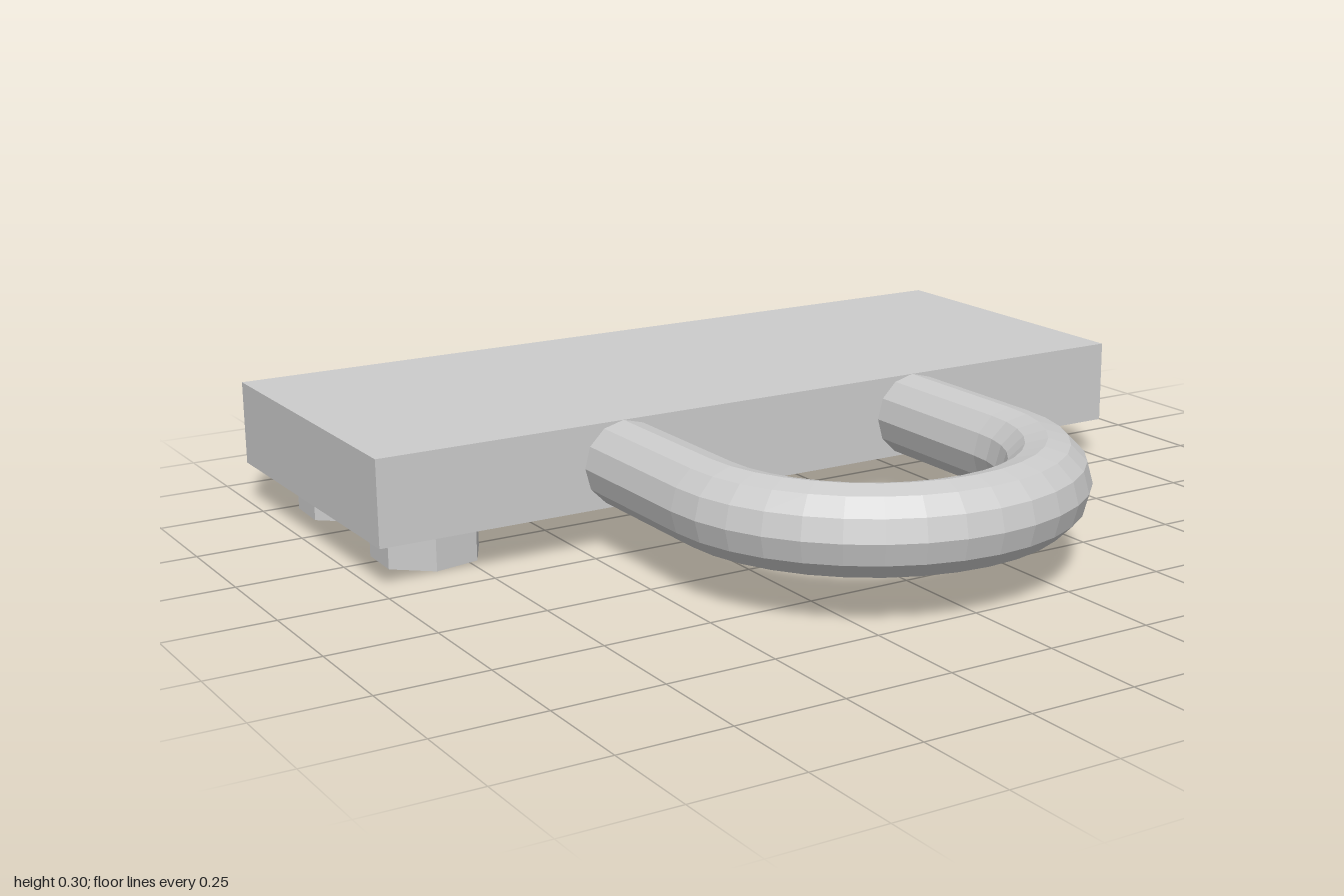
import * as THREE from 'three';

export function createModel() {
  const group = new THREE.Group();
  const material = new THREE.MeshStandardMaterial({ color: 0xcccccc, flatShading: true });

  const add = (name, geometry, x, y, z) => {
    const mesh = new THREE.Mesh(geometry, material);
    mesh.name = name;
    mesh.position.set(x, y, z);
    group.add(mesh);
    return mesh;
  };

  // Flat mounting plate
  add('plate', new THREE.BoxGeometry(2, 0.2, 0.8), 0, 0.2, -0.44);

  // U-shaped loop: half ring plus two straight legs running into the plate
  const ringZ = 0.34, legEnd = -0.04, loopRadius = 0.4, rodRadius = 0.1;
  const ring = new THREE.TorusGeometry(loopRadius, rodRadius, 12, 18, Math.PI);
  ring.rotateX(Math.PI / 2);
  add('loopBend', ring, 0, 0.2, ringZ);

  const legLength = ringZ - legEnd;
  const leg = new THREE.CylinderGeometry(rodRadius, rodRadius, legLength, 12, 1, true);
  leg.rotateX(Math.PI / 2);
  for (const side of [-1, 1]) {
    add(side < 0 ? 'rightLoopLeg' : 'leftLoopLeg', leg, side * loopRadius, 0.2, legEnd + legLength / 2);
  }

  // Bolt heads under the four corners
  const bolt = new THREE.CylinderGeometry(0.127, 0.127, 0.1, 7, 1, false, 1.543);
  for (const x of [-0.806, 0.817]) {
    for (const z of [-0.234, -0.667]) add('boltHead', bolt, x, 0.05, z);
  }

  return group;
}
